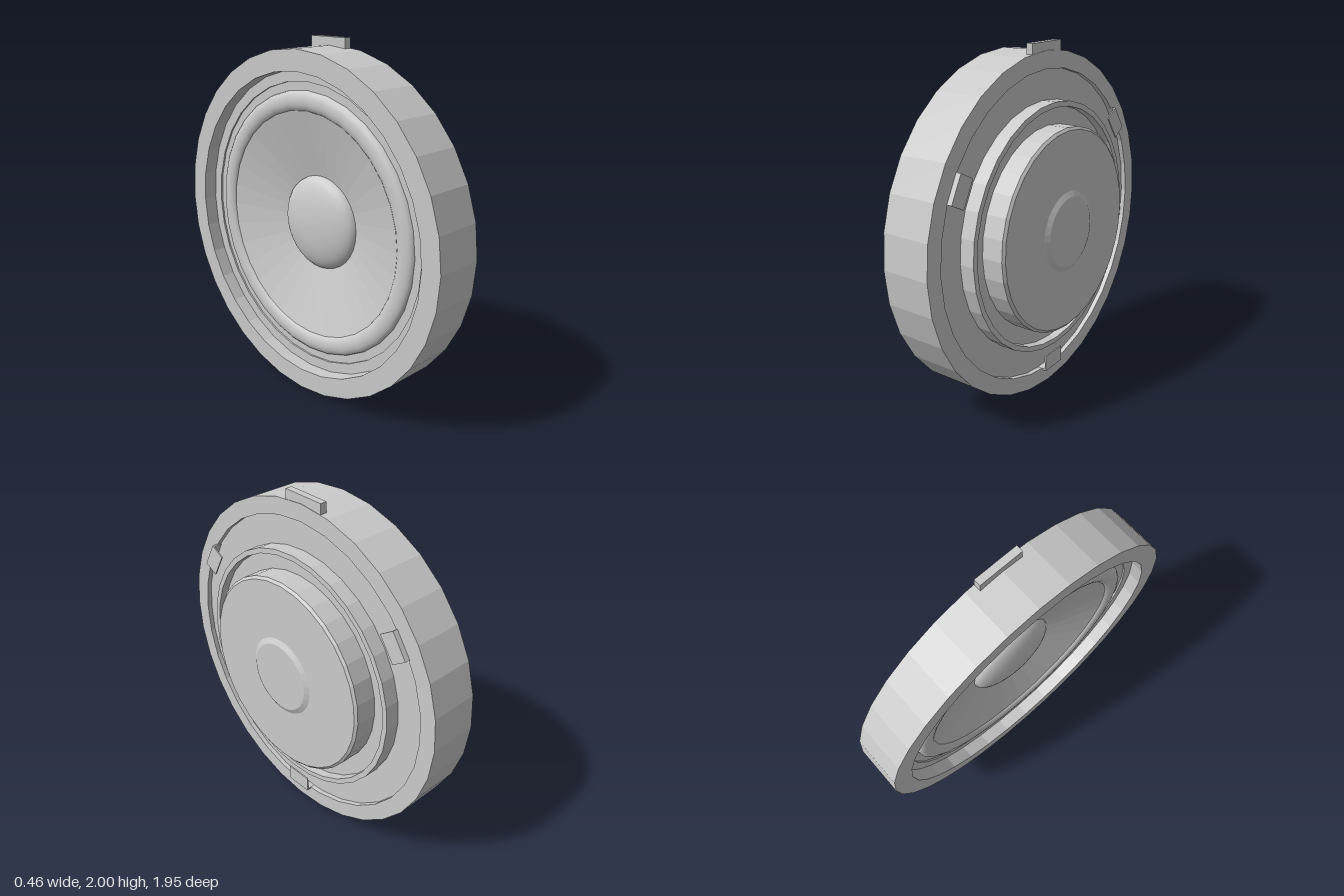
import * as THREE from 'three';

const SIDES = 32;
const flat = new THREE.MeshStandardMaterial({ color: 0xcccccc, flatShading: true, side: THREE.DoubleSide });
const smooth = new THREE.MeshStandardMaterial({ color: 0xcccccc, side: THREE.DoubleSide });

// Turned part from [radius, height along the axis] pairs
function turned(name, points, material = flat) {
  const profile = points.map(([r, h]) => new THREE.Vector2(r, h));
  const mesh = new THREE.Mesh(new THREE.LatheGeometry(profile, SIDES), material);
  mesh.name = name;
  return mesh;
}

function box(name, size, position) {
  const mesh = new THREE.Mesh(new THREE.BoxGeometry(...size), flat);
  mesh.name = name;
  mesh.position.set(...position);
  return mesh;
}

// Circular or elliptical bulge sampled between two angles
function arc(cr, ch, rr, rh, from, to, n) {
  return Array.from({ length: n + 1 }, (_, i) => {
    const a = from + (to - from) * i / n;
    return [Math.max(0, cr + rr * Math.cos(a)), ch + rh * Math.sin(a)];
  });
}

export function createModel() {
  const model = new THREE.Group();
  model.name = 'speakerDriver';

  // Everything is turned around local y, then laid over so the magnet points to +x
  const driver = new THREE.Group();
  driver.name = 'driver';
  driver.position.y = 0.98;
  driver.rotation.z = -Math.PI / 2 + 0.0105;
  model.add(driver);

  // Sound side: dome, cone, rolled surround and gasket
  driver.add(
    turned('dustCap', arc(0, -0.045, 0.27, 0.085, -Math.PI / 2, 0, 8), smooth),
    turned('cone', [[0.26, -0.042], [0.645, -0.145]]),
    turned('surround', arc(0.697, -0.135, 0.055, 0.03, -Math.PI, 0, 8), smooth),
    turned('gasket', [[0.64, -0.132], [0.8, -0.132], [0.8, -0.142], [0.86, -0.142]])
  );

  // Outer rim
  driver.add(turned('rim', [
    [0.86, -0.142], [0.86, -0.22], [0.975, -0.22], [0.975, 0.068], [0.88, 0.068], [0.88, 0.04]
  ]));

  // Rear plate with its raised collar, then the magnet and its centre boss
  driver.add(
    turned('rearPlate', [
      [0.88, 0.04], [0.71, 0.04], [0.71, 0.125], [0.68, 0.125], [0.68, 0.075], [0.57, 0.075]
    ]),
    turned('magnet', [[0.58, 0.075], [0.58, 0.198], [0.565, 0.21], [0, 0.21]]),
    turned('magnetBoss', [[0.23, 0.21], [0.2, 0.226], [0, 0.226]])
  );

  // Three L-shaped clips on the rear plate
  for (const degrees of [28, 145, 269]) {
    const clip = new THREE.Group();
    clip.name = 'clip';
    clip.rotation.y = -THREE.MathUtils.degToRad(degrees);
    clip.add(
      box('clipPlate', [0.16, 0.008, 0.095], [0, 0.094, 0.833]),
      box('clipWall', [0.16, 0.06, 0.01], [0, 0.068, 0.876])
    );
    driver.add(clip);
  }

  // Locating key on top of the rim
  driver.add(box('locatingKey', [0.08, 0.04, 0.255], [-0.98, 0.045, -0.008]));

  return model;
}
